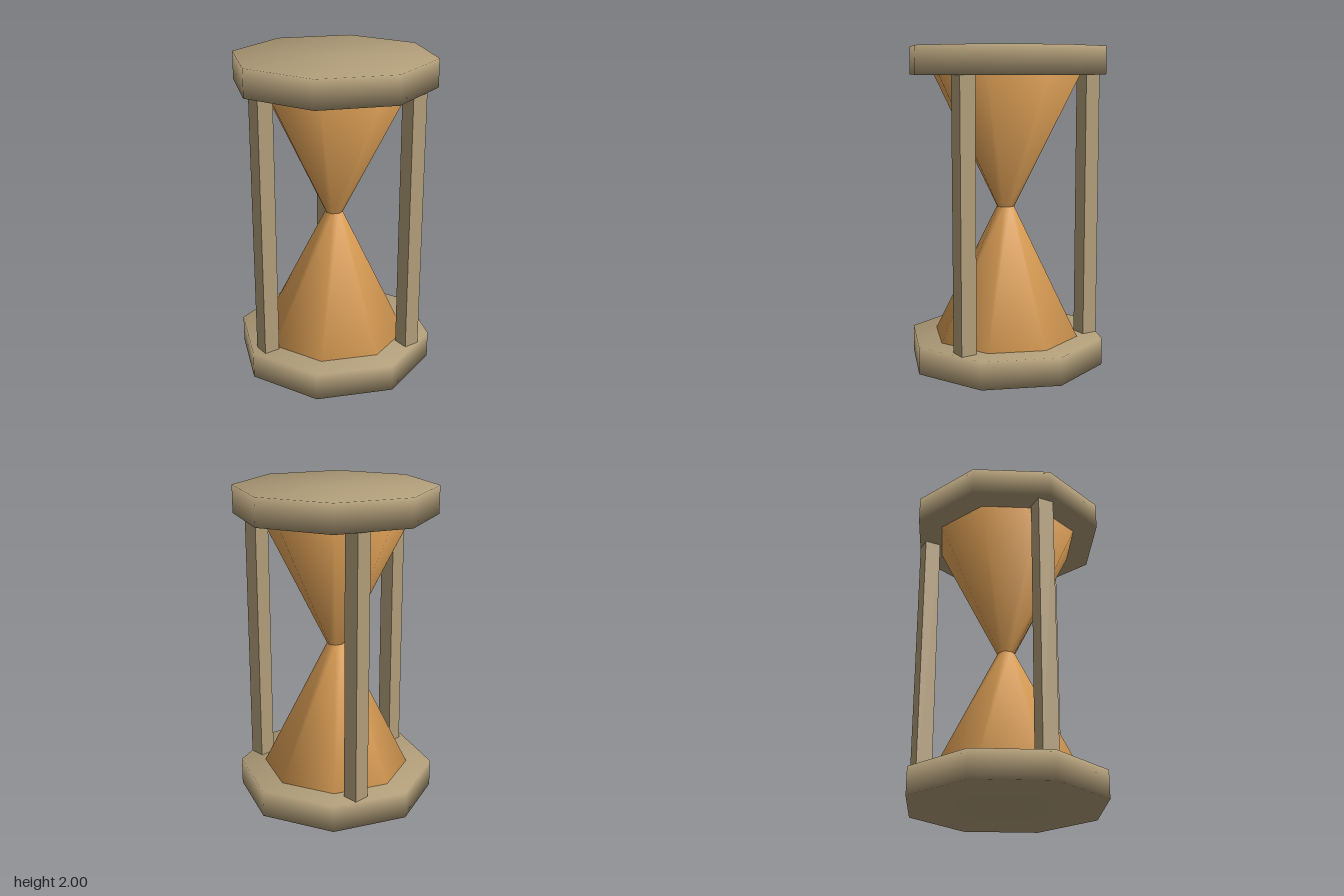
import * as THREE from 'three';
import { mergeVertices } from 'three/addons/utils/BufferGeometryUtils.js';

const HEIGHT = 2, CAP = 0.173, SIDES = 8;

// Eight-sided drum with normals smoothed over all its edges
function smoothDrum(rTop, rBottom, height) {
  const geo = new THREE.CylinderGeometry(rTop, rBottom, height, SIDES);
  geo.deleteAttribute('uv');
  geo.deleteAttribute('normal');
  const welded = mergeVertices(geo);
  welded.computeVertexNormals();
  return welded;
}

export function createModel() {
  const group = new THREE.Group();
  const wood = new THREE.MeshStandardMaterial({ name: 'wood', color: 0xb09d79 });
  const sand = new THREE.MeshStandardMaterial({ name: 'sand', color: 0xdfa157 });

  const add = (name, geo, mat, x, y, z) => {
    const mesh = new THREE.Mesh(geo, mat);
    mesh.name = name;
    mesh.position.set(x, y, z);
    group.add(mesh);
  };

  // End plates
  const plate = smoothDrum(0.627, 0.627, CAP);
  add('bottomPlate', plate, wood, 0, CAP / 2, 0);
  add('topPlate', plate, wood, 0, HEIGHT - CAP / 2, 0);

  // Two bulbs meeting at a narrow neck
  const bulbHeight = HEIGHT / 2 - CAP;
  add('lowerBulb', smoothDrum(0.056, 0.468, bulbHeight), sand, 0, CAP + bulbHeight / 2, 0);
  add('upperBulb', smoothDrum(0.468, 0.056, bulbHeight), sand, 0, 1 + bulbHeight / 2, 0);

  // Three square posts, evenly spaced, all facing the front
  const post = new THREE.BoxGeometry(0.102, HEIGHT - 2 * CAP, 0.102);
  for (let i = 0; i < 3; i++) {
    const a = Math.PI / 3 + (i * 2 * Math.PI) / 3;
    add('post' + (i + 1), post, wood, 0.516 * Math.cos(a), HEIGHT / 2, 0.516 * Math.sin(a));
  }
  return group;
}
